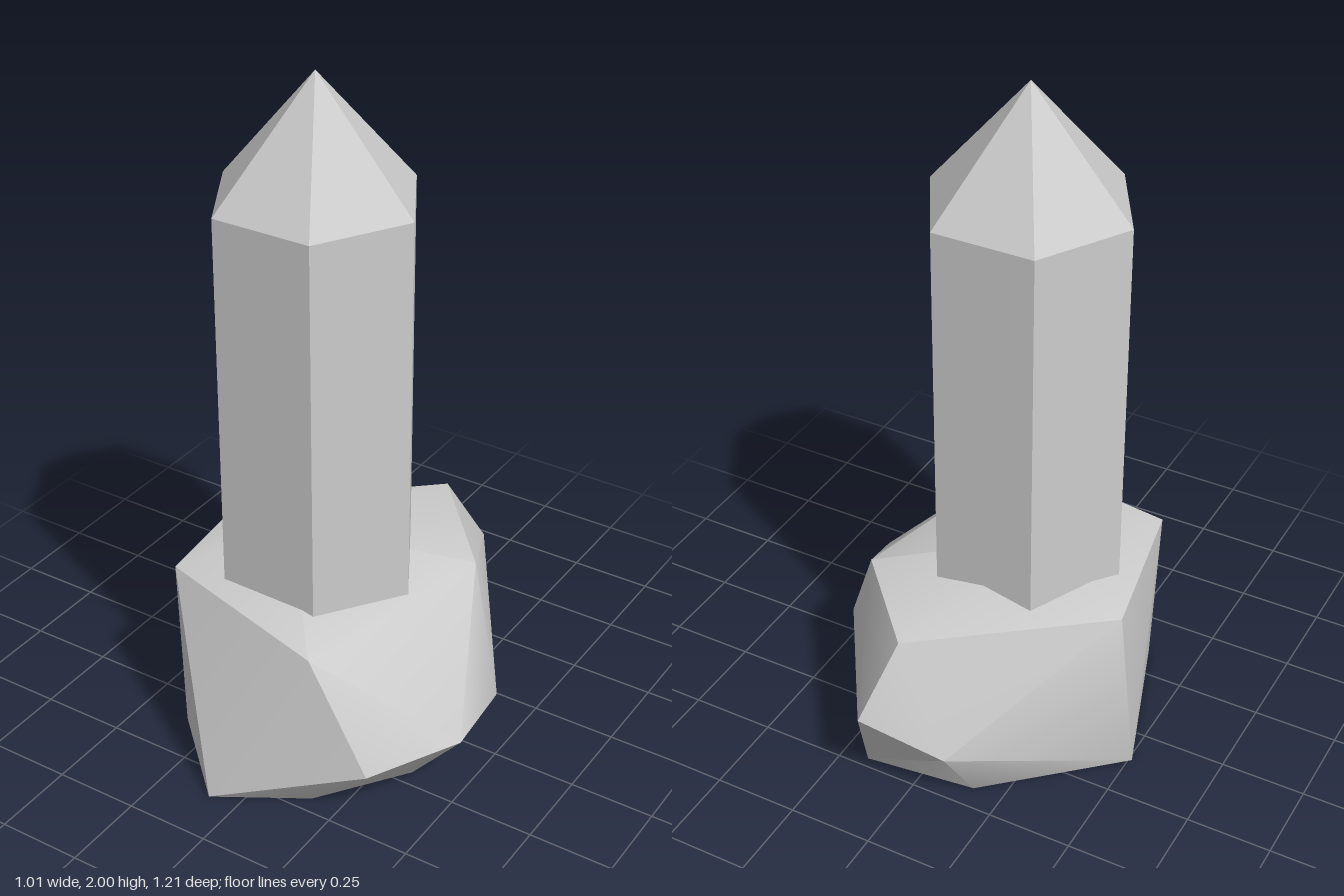
import * as THREE from 'three';
import { ConvexGeometry } from 'three/addons/geometries/ConvexGeometry.js';
import { toCreasedNormals } from 'three/addons/utils/BufferGeometryUtils.js';

// Drops the triangles lying on the ground, leaving the shell open below
function openBottom(geometry) {
  const p = geometry.attributes.position;
  const kept = [];
  for (let i = 0; i < p.count; i += 3) {
    if (Math.max(p.getY(i), p.getY(i + 1), p.getY(i + 2)) < 0.001) continue;
    for (let j = i; j < i + 3; j++) kept.push(p.getX(j), p.getY(j), p.getZ(j));
  }
  return new THREE.BufferGeometry().setAttribute('position', new THREE.Float32BufferAttribute(kept, 3));
}

export function createModel() {
  const group = new THREE.Group();
  const material = new THREE.MeshStandardMaterial({ color: 0xcccccc, side: THREE.DoubleSide });
  const add = (name, geometry, crease) => {
    const mesh = new THREE.Mesh(toCreasedNormals(geometry, crease), material);
    mesh.name = name;
    group.add(mesh);
    return mesh;
  };

  // Rock base: faceted hollow boulder, ring by ring
  const corners = [
    // peak, inside the crystal
    [-0.17, 0.59, 0.05],
    // upper rim
    [-0.375, 0.53, 0.34], [0.16, 0.49, 0.46], [0.31, 0.49, -0.19], [0.04, 0.51, -0.49], [-0.45, 0.495, -0.09],
    // bulging waist
    [0.34, 0.155, 0.45], [0.505, 0.195, 0.22], [0.46, 0.155, -0.07], [0.11, 0.285, -0.605], [-0.13, 0.19, -0.545],
    // footprint
    [-0.09, 0, 0.6], [0.16, 0, 0.45], [0.34, 0, 0.2], [0.31, 0, -0.185], [0.17, 0, -0.47],
    [-0.16, 0, -0.43], [-0.51, 0, -0.11], [-0.35, 0, 0.35],
  ].map((p) => new THREE.Vector3(...p));
  add('rockBase', openBottom(new ConvexGeometry(corners)), 0.6);

  // Six-sided crystal: shaft with a pointed tip
  const radius = 0.3, bottom = 0.45, shoulder = 1.65, top = 2;
  const shaft = add('crystalShaft',
    new THREE.CylinderGeometry(radius, radius, shoulder - bottom, 6, 1, true), 0.1);
  shaft.position.y = (shoulder + bottom) / 2;
  const tip = add('crystalTip', new THREE.ConeGeometry(radius, top - shoulder, 6, 1, true), 0.1);
  tip.position.y = (top + shoulder) / 2;
  for (const part of [shaft, tip]) {
    part.position.x = -0.07;
    part.position.z = 0.055;
    part.rotation.y = Math.PI / 6;
  }
  return group;
}
